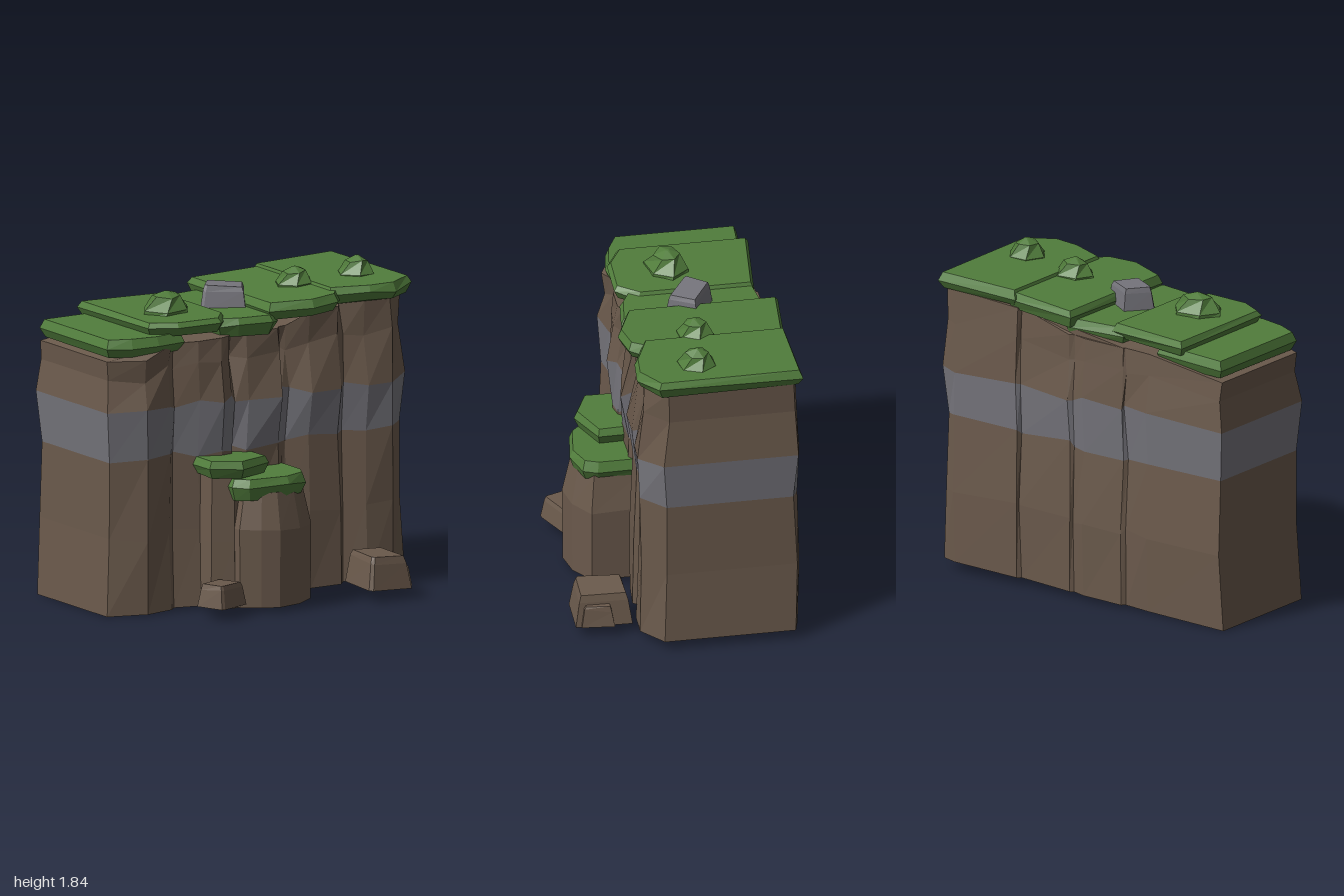
import * as THREE from 'three';

const flat = (name, color, side = THREE.FrontSide) => {
  const m = new THREE.MeshStandardMaterial({ color, side, flatShading: true });
  m.name = name;
  return m;
};

// Deterministic jitter in -1..1
const jit = (a, b) => {
  const s = Math.sin(a * 12.99 + b * 78.23) * 43758.55;
  return (s - Math.floor(s)) * 2 - 1;
};

// Builds a flat-shaded geometry from [x, y, z] points and triangle indices
function faceted(points, index) {
  const g = new THREE.BufferGeometry();
  g.setAttribute('position', new THREE.Float32BufferAttribute(points.flat(), 3));
  g.setIndex(index);
  const out = g.toNonIndexed();
  out.computeVertexNormals();
  return out;
}

// Upward-facing triangles that fill one ring
const fill = ring =>
  THREE.ShapeUtils.triangulateShape(ring.map(([x, , z]) => new THREE.Vector2(x, -z)), []);

// Skins closed rings of [x, y, z], listed bottom to top, anticlockwise from above
function loft(rings, capBottom = true, capTop = true) {
  const n = rings[0].length, last = (rings.length - 1) * n, index = [];
  for (let k = 0; k < rings.length - 1; k++) {
    for (let i = 0; i < n; i++) {
      const j = (i + 1) % n, a = k * n + i, b = k * n + j;
      index.push(a, b, b + n, a, b + n, a + n);
    }
  }
  if (capBottom) for (const [a, b, c] of fill(rings[0])) index.push(a, c, b);
  if (capTop) for (const t of fill(rings[rings.length - 1])) index.push(...t.map(i => last + i));
  return faceted(rings.flat(), index);
}

// Stacks inset copies of an [x, z] outline; levels are [y, inset, roughness], slope tilts along x
function stack(outline, levels, slope = 0) {
  const xs = outline.map(p => p[0]), zs = outline.map(p => p[1]);
  const x0 = Math.min(...xs), x1 = Math.max(...xs), z0 = Math.min(...zs), z1 = Math.max(...zs);
  const cx = (x0 + x1) / 2, cz = (z0 + z1) / 2;
  return loft(levels.map(([y, inset, rough = 0], k) => outline.map(([x, z], i) => [
    cx + (x - cx) * (1 - 2 * inset / (x1 - x0)),
    y + (x - cx) * slope + rough * jit(i + x0, k),
    cz + (z - cz) * (1 - 2 * inset / (z1 - z0)),
  ])));
}

export function createModel() {
  const group = new THREE.Group();
  const earth = flat('brown rock', 0x6b5a4c, THREE.DoubleSide);
  const stone = flat('grey stone', 0x76757c);
  const grass = flat('green grass', 0x517d3c);
  const add = (name, geometry, material) => {
    const m = new THREE.Mesh(geometry, material);
    m.name = name;
    group.add(m);
    return m;
  };

  // Cliff outline: front left to right, with narrow clefts, then back right to left
  const front = [[-0.97, 0.13], [-0.77, 0.22], [-0.6, 0.2], [-0.565, 0.165], [-0.42, 0.22],
    [-0.28, 0.24], [-0.205, 0.215], [-0.18, 0.17], [-0.1, 0.21], [0.11, 0.23], [0.14, 0.18],
    [0.18, 0.185], [0.3, 0.23], [0.49, 0.25], [0.535, 0.195], [0.66, 0.26], [0.82, 0.265], [0.955, 0.15]];
  const back = [[0.955, -0.58], [0.88, -0.605], [0.45, -0.6], [0.43, -0.58], [0.08, -0.6],
    [0.06, -0.585], [-0.02, -0.605], [-0.28, -0.6], [-0.3, -0.58], [-0.46, -0.59], [-0.97, -0.59]];
  const outline = [...front, ...back];
  const topY = x => x < -0.6 ? 1.455 : x < 0.2 ? 1.54 + x * 0.03 : 1.62 + (x - 0.3) * 0.06;
  const heights = [
    x => 0.03 + 0.03 * x,
    x => 0.46 + 0.02 * x,
    x => 0.895 + 0.02 * x,
    x => 1.18 + 0.015 * x,
    x => 1.18 + (topY(x) - 1.18) * 0.6,
    topY,
  ];
  const growX = [0.015, -0.008, -0.01, 0.015, -0.01, 0]; // bulge of each level
  const growFront = [0.015, 0, 0, 0.02, -0.015, -0.01];
  const growBack = [0, 0.012, -0.01, 0.015, 0, -0.01];
  const rings = heights.map((h, k) => outline.map(([x, z], i) => {
    const corner = Math.abs(x) > 0.9;
    const inner = k === 0 || corner ? 0 : 1;
    return [
      x + Math.sign(x) * (corner ? growX[k] : 0) + inner * jit(i, k) * 0.01,
      h(x) + (k > 0 && k < 5 ? inner * jit(i + 40, k) * 0.025 : 0),
      z + (z > 0 ? growFront[k] : -growBack[k]) + inner * jit(i + 80, k) * (z > 0 ? 0.018 : 0.008),
    ];
  }));
  add('lowerCliff', loft(rings.slice(0, 3), false, false), earth);
  add('stoneBand', loft(rings.slice(2, 4), false, false), stone);
  add('upperCliff', loft(rings.slice(3), false, true), earth);
  // Thin floor sheet closing the cliff
  add('cliffFloor', faceted(rings[0], fill(rings[0]).flat()), earth);

  // Overlapping grass slabs: outline, bottom, top, slope
  const slab = (name, pts, y0, y1, slope) => {
    const h = y1 - y0;
    add(name, stack(pts, [[y0, 0.025, 0.008], [y0 + h * 0.55, 0, 0.012], [y1, 0.02]], slope), grass);
  };
  slab('grassTop1', [[-0.97, 0.12], [-0.84, 0.18], [-0.68, 0.21], [-0.5, 0.19],
    [-0.5, -0.56], [-0.97, -0.59]], 1.475, 1.58, 0.02);
  slab('grassTop2', [[-0.71, 0.14], [-0.56, 0.22], [-0.28, 0.23], [-0.18, 0.11],
    [-0.18, -0.55], [-0.71, -0.61]], 1.565, 1.648, 0.005);
  slab('grassTop3', [[-0.26, 0.17], [-0.16, 0.22], [0.05, 0.25], [0.11, 0.2],
    [0.11, -0.59], [-0.26, -0.55]], 1.525, 1.63, 0.01);
  slab('grassTop4', [[0.04, 0.22], [0.28, 0.31], [0.46, 0.28], [0.52, 0.2],
    [0.52, -0.6], [0.04, -0.645]], 1.605, 1.705, 0.05);
  slab('grassTop5', [[0.45, 0.2], [0.67, 0.285], [0.83, 0.3], [0.995, 0.2],
    [0.985, -0.62], [0.45, -0.615]], 1.645, 1.738, 0.025);

  // Two stepped ledges at the front
  add('lowLedge', stack([[-0.3, 0.45], [-0.2, 0.52], [-0.1, 0.56], [0.05, 0.53], [0.18, 0.44],
    [0.18, 0.1], [-0.3, 0.1]], [[0.03, 0.004], [0.47, 0, 0.015], [0.68, 0.045]]), earth);
  add('highLedge', stack([[-0.42, 0.34], [-0.3, 0.4], [-0.14, 0.36], [-0.1, 0.1], [-0.42, 0.1]],
    [[0.02, 0], [0.4, 0.004], [0.8, 0.01]]), earth);
  slab('lowLedgeGrass', [[-0.33, 0.42], [-0.26, 0.49], [-0.02, 0.53], [0.12, 0.48], [0.155, 0.4],
    [0.155, 0.12], [-0.33, 0.12]], 0.645, 0.765, 0.015);
  slab('highLedgeGrass', [[-0.455, 0.38], [-0.28, 0.46], [-0.05, 0.36], [-0.06, 0.12], [-0.45, 0.12]],
    0.768, 0.865, -0.025);

  // Chipped blocks narrowing towards the top
  const block = (name, material, [x, y, z], [w, h, d], turn, inset) => {
    const pts = [[-1, 0.9], [-0.85, 1], [1, 0.95], [0.95, -1], [-0.9, -0.9]]
      .map(([px, pz]) => [px * w / 2, pz * d / 2]);
    const m = add(name, stack(pts, [[0, 0], [h * 0.8, inset * 0.65, 0.012], [h, inset]], -0.04), material);
    m.position.set(x, y, z);
    m.rotation.y = turn;
  };
  block('leftBoulder', earth, [-0.44, 0.065, 0.475], [0.25, 0.13, 0.19], 0.45, 0.025);
  block('rightBoulder', earth, [0.6, 0.065, 0.465], [0.27, 0.185, 0.33], -0.05, 0.035);
  block('rightBoulderChip', earth, [0.695, 0.07, 0.5], [0.13, 0.12, 0.19], -0.12, 0.025);
  block('greyRock', stone, [-0.025, 1.6, -0.155], [0.26, 0.15, 0.2], -0.6, 0.025);

  // Faceted bushes: a wide base, a shoulder and a small crown
  const bush = (name, x, y, z, rx, h, rz, seed) => {
    const ring = (s, yy, twist) => Array.from({ length: 6 }, (_, i) => {
      const a = (i + twist) / 6 * Math.PI * 2, r = s * (1 + 0.1 * jit(i, seed));
      return [x + Math.cos(a) * rx * r, y + yy * h * (1 + 0.08 * jit(i, seed + 5)), z - Math.sin(a) * rz * r];
    });
    const top = Array.from({ length: 6 }, (_, i) => {
      const a = i / 6 * Math.PI * 2;
      return [x + 0.01 * Math.cos(a), y + h, z - 0.01 * Math.sin(a)];
    });
    add(name, loft([ring(1.02, 0, 0), ring(0.98, 0.3, 0.1), ring(0.58, 0.8, 0.4), top]), grass);
  };
  bush('leftBush', -0.44, 1.62, -0.1, 0.155, 0.145, 0.125, 1);
  bush('middleBush', 0.41, 1.68, -0.1, 0.112, 0.13, 0.11, 2);
  bush('rightBush', 0.79, 1.7, -0.05, 0.112, 0.14, 0.12, 3);

  return group;
}
